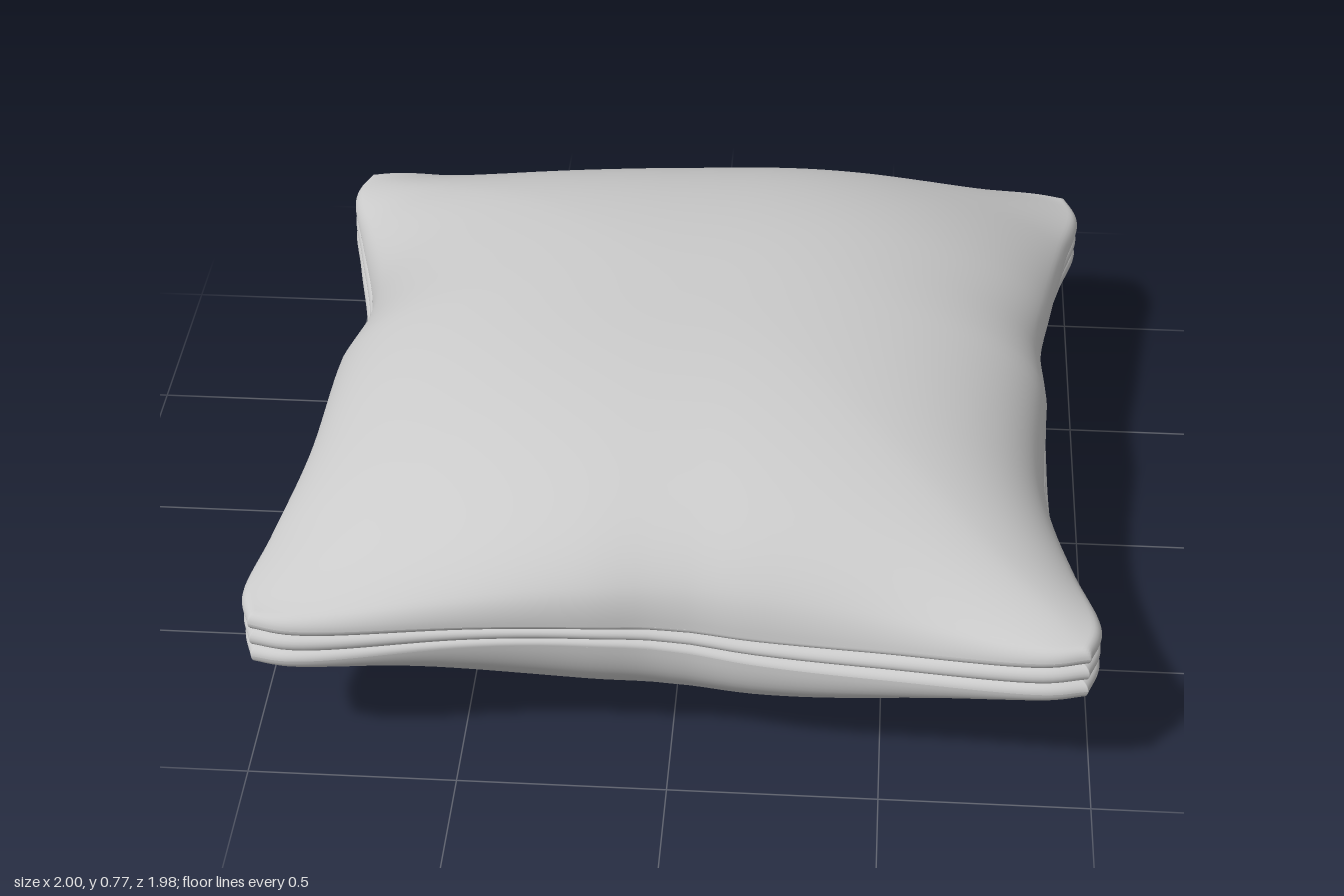
import * as THREE from 'three';
import { mergeVertices } from 'three/addons/utils/BufferGeometryUtils.js';

const MID = 0.385;      // height of the seam
const PUFF = 0.333;     // rise of each panel above the piping
const PIPE = 0.022;     // how far each piping cord sticks out

// Half-widths of the outline along each side, sampled from t = -1 to 1
const curve = (pairs) => {
  const c = new THREE.CatmullRomCurve3(pairs.map(([t, r]) => new THREE.Vector3(t, r, 0)));
  const pts = c.getPoints(240);
  return (t) => {
    let k = 1;
    while (k < pts.length - 1 && pts[k].x < t) k++;
    const a = pts[k - 1], b = pts[k];
    return THREE.MathUtils.mapLinear(t, a.x, b.x, a.y, b.y);
  };
};
const right = curve([[-1, 0.97], [-0.9, 1], [-0.7, 0.965], [-0.4, 0.915], [-0.2, 0.885], [0, 0.895], [0.4, 0.91], [0.7, 0.96], [0.9, 1], [1, 0.97]]);
const left = curve([[-1, 0.97], [-0.9, 1], [-0.7, 0.965], [-0.4, 0.905], [-0.2, 0.895], [0, 0.912], [0.4, 0.925], [0.7, 0.97], [0.9, 1], [1, 0.97]]);
const front = curve([[-1, 0.97], [-0.9, 0.99], [-0.5, 0.965], [-0.2, 0.935], [0, 0.907], [0.2, 0.93], [0.5, 0.955], [0.9, 0.99], [1, 0.97]]);
const back = curve([[-1, 0.97], [-0.9, 0.99], [-0.5, 0.965], [-0.2, 0.935], [0, 0.917], [0.2, 0.93], [0.5, 0.955], [0.9, 0.99], [1, 0.97]]);

// Ripple of the seam along a side, zero at the corners
const ripple = (t) => Math.sin(Math.PI * t) * (1 - t * t) * 1.3;

// Point of the cushion at seam layer s (-1 bottom, 1 top) for square coordinates u, v
function place(u, v, s) {
  const reach = (edge, t, sign) => edge(t) - 0.013 * (Math.abs(ripple(t)) + s * sign * ripple(t));
  const x = u * (u > 0 ? reach(right, v, 1) : reach(left, v, -1));
  const z = v * (v > 0 ? reach(front, u, 1) : reach(back, u, -1));
  const wave = Math.sign(u) * Math.abs(u) ** 6 * ripple(v) + Math.sign(v) * Math.abs(v) ** 6 * ripple(u);
  const half = 0.052 + 0.021 * Math.min(u * u, v * v);
  return new THREE.Vector3(x, MID - 0.018 * wave + s * half, z);
}

// Smooth surface from a grid of points
function surface(name, nu, nv, point, flip) {
  const pos = [], idx = [];
  for (let i = 0; i <= nu; i++) {
    for (let j = 0; j <= nv; j++) {
      pos.push(...point(i / nu, j / nv).toArray());
      if (i === nu || j === nv) continue;
      const a = i * (nv + 1) + j, b = a + 1, c = a + nv + 1, d = c + 1;
      if (flip) idx.push(a, c, b, b, c, d);
      else idx.push(a, b, c, b, d, c);
    }
  }
  let geo = new THREE.BufferGeometry();
  geo.setAttribute('position', new THREE.Float32BufferAttribute(pos, 3));
  geo.setIndex(idx);
  geo = mergeVertices(geo, 1e-5);
  geo.computeVertexNormals();
  const mesh = new THREE.Mesh(geo, new THREE.MeshStandardMaterial({ color: 0xcccccc, side: THREE.DoubleSide }));
  mesh.name = name;
  return mesh;
}

// Puffed panel on the top (s = 1) or the bottom (s = -1), rolling over the outer cord at its border
function panel(name, s) {
  const ease = (f) => Math.sin((f - 0.5) * Math.PI);
  // Steep at the middle of a side, flatter towards the corners
  const puff = (t, along) => Math.max(0, 1 - Math.abs(t) ** 2.5) ** (0.5 + 0.4 * along * along);
  return surface(name, 80, 80, (fu, fv) => {
    const u = ease(fu), v = ease(fv);
    const inset = Math.max(0, 1 - (1 - Math.max(Math.abs(u), Math.abs(v))) / PIPE);
    const p = place(u, v, s * (2 + Math.sqrt(1 - inset * inset)) / 3);
    p.y += s * PUFF * puff(u, v) * puff(v, u);
    return p;
  }, s < 0);
}

// Square coordinates of a point on the rim, f from 0 to 1 around it
function rim(f) {
  const side = Math.floor(f * 4) % 4;
  const t = -Math.cos((f * 4 - Math.floor(f * 4)) * Math.PI);
  return [[t, 1], [1, -t], [-t, -1], [-1, t]][side];
}

// Rounded cord running round the rim, its section going from g0 to g1 of a half circle
function cord(name, k, g0, g1) {
  return surface(name, 240, 10, (f, h) => {
    const [u, v] = rim(f);
    const a = (g0 + (g1 - g0) * h) * Math.PI;
    const p = place(u, v, -1 + (2 / 3) * (k + (1 - Math.cos(a)) / 2));
    const out = 1 - PIPE + PIPE * Math.sin(a);
    p.x *= out;
    p.z *= out;
    return p;
  }, true);
}

export function createModel() {
  const cushion = new THREE.Group();
  cushion.name = 'cushion';
  cushion.add(
    panel('topPanel', 1),
    panel('bottomPanel', -1),
    cord('lowerPiping', 0, 0.5, 1),
    cord('middlePiping', 1, 0, 1),
    cord('upperPiping', 2, 0, 0.5),
  );
  return cushion;
}
